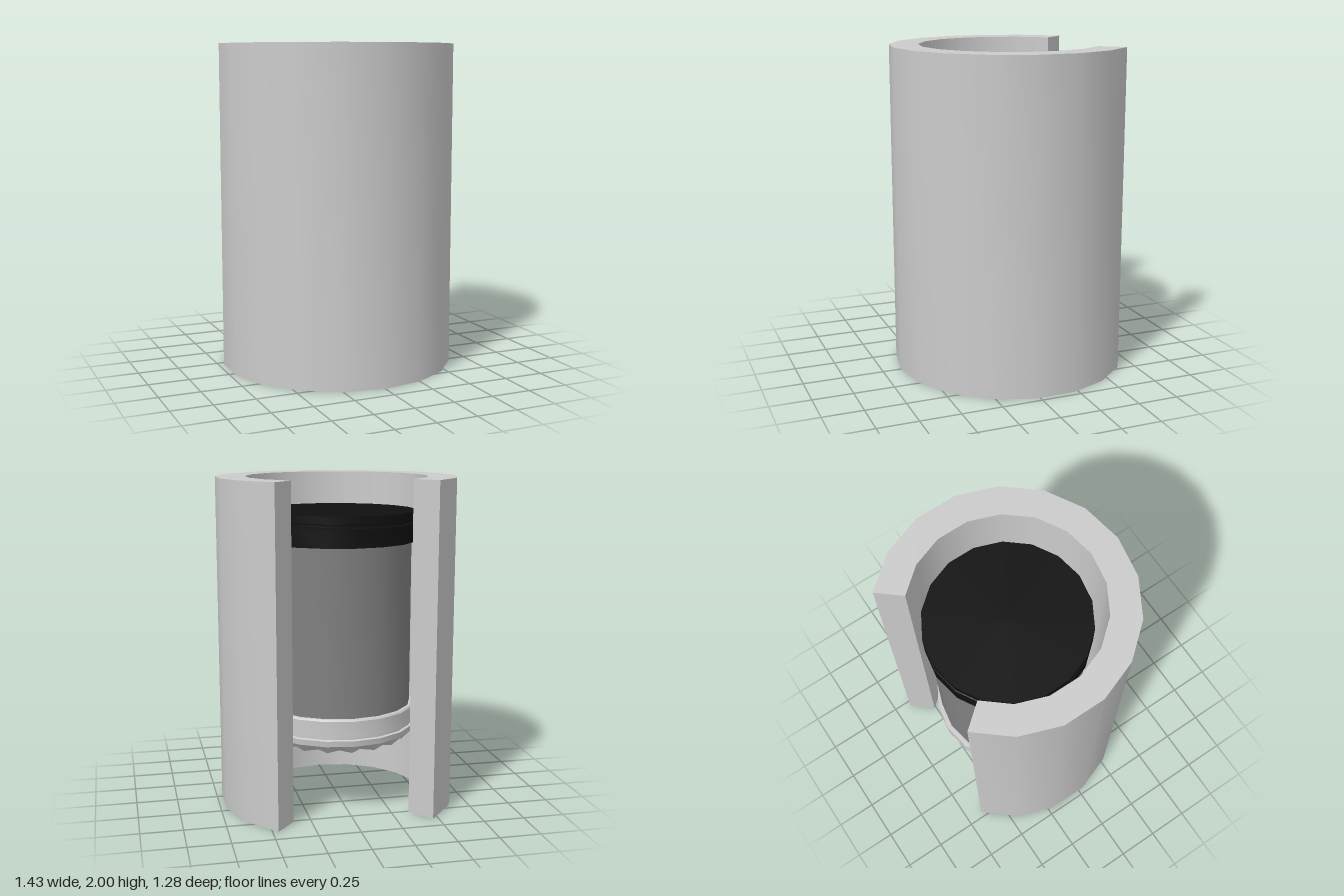
import * as THREE from 'three';
import { toCreasedNormals } from 'three/addons/utils/BufferGeometryUtils.js';

const SIDES = 18;
const STEP = (Math.PI * 2) / SIDES;
const CENTRE_Z = -0.09;

const material = (color, extra = {}) => new THREE.MeshStandardMaterial({ color, ...extra });

function add(group, name, geometry, mat) {
  const mesh = new THREE.Mesh(geometry, mat);
  mesh.name = name;
  group.add(mesh);
}

// Turned part from [radius, height] pairs, listed bottom to top
function turned(profile) {
  const points = profile.map(([r, y]) => new THREE.Vector2(r, y));
  return toCreasedNormals(new THREE.LatheGeometry(points, SIDES), 0.5);
}

// Thick wall covering 280 degrees, open at the back
function sleeveGeometry(outer, inner, height) {
  const points = [];
  const point = (r, k) => new THREE.Vector2(r * Math.sin(k * STEP), -r * Math.cos(k * STEP));
  for (let k = -7; k <= 7; k++) points.push(point(outer, k));
  for (let k = 7; k >= -7; k--) points.push(point(inner, k));
  const geometry = new THREE.ExtrudeGeometry(new THREE.Shape(points), { depth: height, bevelEnabled: false });
  geometry.rotateX(-Math.PI / 2);
  return toCreasedNormals(geometry, 0.5);
}

// Pleated underside: a smooth upper loop folding down to a star-shaped flat base
function crimpGeometry(rTop, yTop, rTip, rValley, yBase) {
  const n = SIDES * 2;
  const positions = [];
  const index = [];
  const ring = (radius, y) => {
    for (let k = 0; k < n; k++) {
      const a = (k * STEP) / 2;
      positions.push(radius(k) * Math.sin(a), y, radius(k) * Math.cos(a));
    }
  };
  ring((k) => (k % 2 ? rTop * Math.cos(STEP / 2) : rTop), yTop);
  ring((k) => (k % 2 ? rValley : rTip), yBase);
  positions.push(0, yBase, 0);
  for (let k = 0; k < n; k++) {
    const m = (k + 1) % n;
    // split each quad from the tip so that the pleats mirror
    if (k % 2) index.push(n + k, n + m, k, n + m, m, k);
    else index.push(n + k, n + m, m, n + k, m, k);
    index.push(2 * n, n + m, n + k);
  }
  const geometry = new THREE.BufferGeometry();
  geometry.setAttribute('position', new THREE.Float32BufferAttribute(positions, 3));
  geometry.setIndex(index);
  geometry.computeVertexNormals();
  return geometry;
}

export function createModel() {
  const model = new THREE.Group();
  model.name = 'canisterInSleeve';
  const grey = material(0xcccccc);

  add(model, 'outerSleeve', sleeveGeometry(0.726, 0.55, 2), grey);

  const canister = new THREE.Group();
  canister.name = 'canister';

  add(canister, 'canisterBody', turned([[0.456, 0.6], [0.456, 1.64]]), material(0x808080));

  // Black lid with a groove below its top lip
  add(canister, 'lid', turned([
    [0.45, 1.62], [0.483, 1.62], [0.483, 1.73], [0.468, 1.735],
    [0.468, 1.75], [0.483, 1.755], [0.483, 1.8], [0, 1.8],
  ]), material(0x101010));

  // Collar and lower lip, separated by a groove
  add(canister, 'baseCollar', turned([
    [0.475, 0.455], [0.48, 0.49], [0.465, 0.495], [0.465, 0.51],
    [0.483, 0.515], [0.483, 0.61], [0.475, 0.62], [0.45, 0.62],
  ]), grey);

  add(canister, 'crimpedBase', crimpGeometry(0.475, 0.455, 0.42, 0.36, 0.4),
    material(0xcccccc, { flatShading: true }));

  model.add(canister);
  model.position.z = 0;
  for (const part of model.children) part.position.z = CENTRE_Z;
  return model;
}
